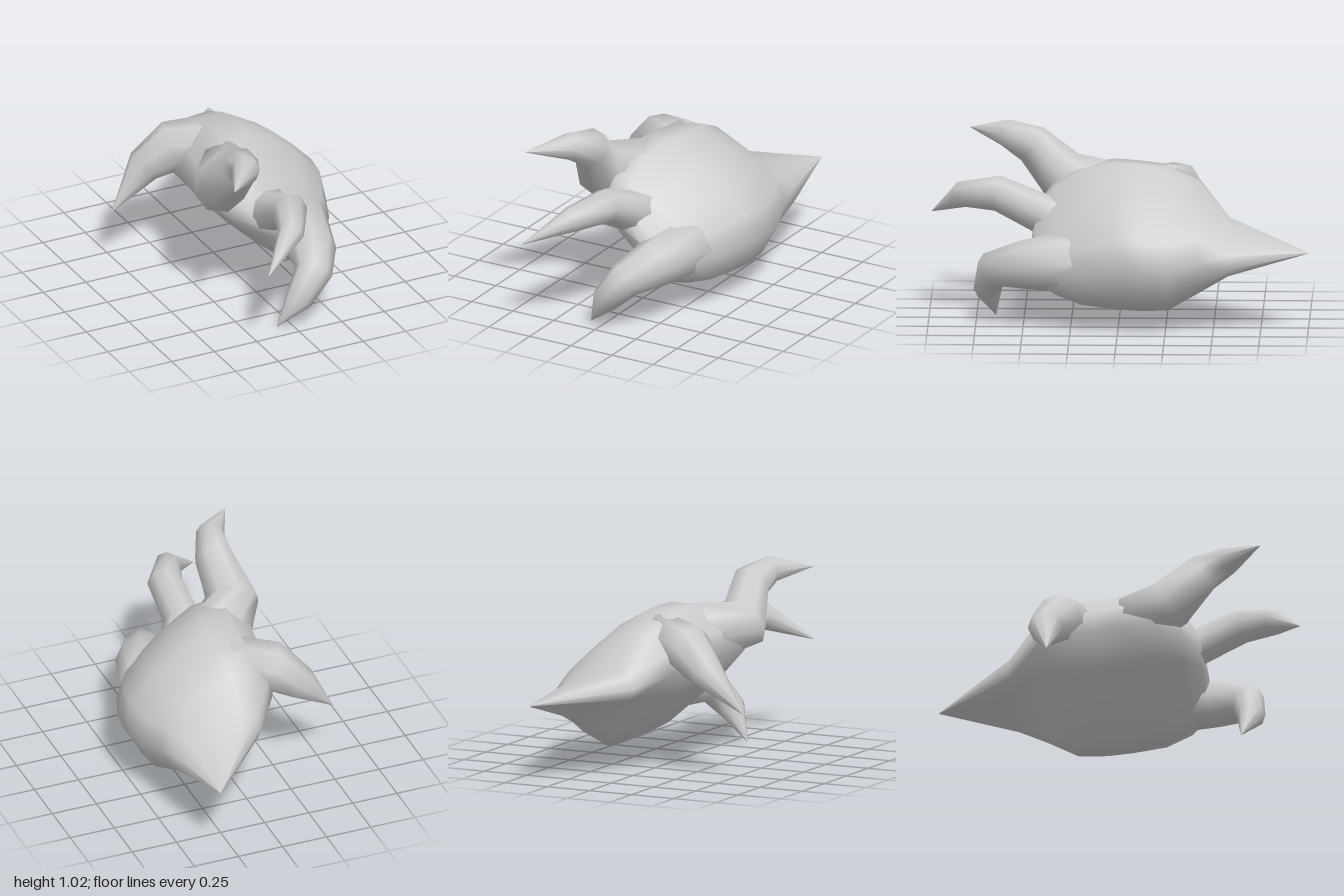
import * as THREE from 'three';

const material = new THREE.MeshStandardMaterial({ color: 0xcccccc });

// Smooth skin through rings of points; each ring turns counter-clockwise about the travel direction
function loft(name, rings) {
  const n = rings[0].length;
  const index = [];
  for (let i = 0; i < rings.length - 1; i++) {
    for (let j = 0; j < n; j++) {
      const k = (j + 1) % n;
      const a = i * n + j, b = i * n + k, c = (i + 1) * n + k, d = (i + 1) * n + j;
      index.push(a, b, c, a, c, d);
    }
  }
  const geometry = new THREE.BufferGeometry().setFromPoints(rings.flat());
  geometry.setIndex(index);
  geometry.computeVertexNormals();
  const mesh = new THREE.Mesh(geometry, material);
  mesh.name = name;
  return mesh;
}

// Tapering limb along joints [x, y, z, radius]
function limb(name, joints, sides = 8) {
  const points = joints.map(([x, y, z]) => new THREE.Vector3(x, y, z));
  const across = new THREE.Vector3(0.74, -0.67, 0);
  const rings = points.map((p, i) => {
    const before = points[Math.max(i - 1, 0)];
    const after = points[Math.min(i + 1, points.length - 1)];
    const along = after.clone().sub(p).normalize()
      .add(p.clone().sub(before).normalize()).normalize();
    const u = across.clone().addScaledVector(along, -across.dot(along)).normalize();
    const v = along.clone().cross(u);
    const r = Math.max(joints[i][3], 0.002);
    return Array.from({ length: sides }, (_, j) => {
      const t = (j / sides) * Math.PI * 2;
      return p.clone().addScaledVector(u, r * Math.cos(t)).addScaledVector(v, r * Math.sin(t));
    });
  });
  return loft(name, rings);
}

// Palm outline in units of half width and half depth: domed back, flat inside
const palmOutline = [
  [1, -0.2], [0.9, 0.58], [0.6, 0.95], [0.2, 1], [-0.2, 0.99], [-0.72, 0.8], [-0.97, 0.4],
  [-1, -0.35], [-0.88, -0.85], [-0.4, -0.97], [0.1, -1], [0.6, -0.97], [0.83, -0.82],
];

function palmRing([z, x, y, halfWidth, halfDepth, tilt]) {
  const c = Math.cos(tilt), s = Math.sin(tilt);
  return palmOutline.map(([a, b]) => {
    const u = a * halfWidth, v = b * halfDepth;
    return new THREE.Vector3(x + u * c - v * s, y + u * s + v * c, z);
  });
}

export function createModel() {
  const group = new THREE.Group();
  group.name = 'clawedHand';

  // Palm from the pointed wrist to the knuckles: z, x, y, half width, half depth, tilt
  group.add(loft('palm', [
    [-1.0, 0.35, 0.42, 0.003, 0.003, -0.5],
    [-0.58, 0.2, 0.43, 0.25, 0.09, -0.3],
    [-0.42, 0.16, 0.48, 0.34, 0.185, -0.64],
    [-0.26, 0.15, 0.47, 0.41, 0.245, -0.73],
    [-0.12, 0.16, 0.48, 0.42, 0.255, -0.73],
    [0.02, 0.14, 0.485, 0.425, 0.25, -0.73],
    [0.2, 0.1, 0.47, 0.41, 0.205, -0.73],
    [0.34, 0.08, 0.445, 0.34, 0.145, -0.73],
    [0.44, 0.09, 0.42, 0.23, 0.07, -0.73],
    [0.46, 0.09, 0.42, 0.003, 0.003, -0.73],
  ].map(palmRing)));

  // Fingers and thumb, rooted inside the palm and ending in a sharp point
  const digits = {
    upperFinger: [
      [0.06, 0.56, -0.1, 0], [-0.1, 0.67, 0.12, 0.17], [-0.24, 0.71, 0.3, 0.145],
      [-0.2, 0.89, 0.46, 0.105], [-0.24, 0.94, 0.6, 0.075], [-0.4, 0.94, 0.79, 0],
    ],
    middleFinger: [
      [0.08, 0.46, -0.05, 0], [0.05, 0.5, 0.24, 0.15], [-0.01, 0.56, 0.42, 0.105],
      [0.0, 0.665, 0.64, 0.095], [-0.09, 0.64, 0.83, 0.07], [-0.3, 0.51, 0.99, 0],
    ],
    lowerFinger: [
      [0.2, 0.42, -0.1, 0], [0.25, 0.35, 0.24, 0.165], [0.2, 0.32, 0.5, 0.13],
      [0.13, 0.28, 0.66, 0.1], [0.03, 0.16, 0.69, 0.075], [-0.08, 0, 0.65, 0],
    ],
    thumb: [
      [0.18, 0.48, -0.15, 0], [-0.06, 0.68, -0.24, 0.15], [-0.22, 0.66, -0.3, 0.135],
      [-0.36, 0.55, -0.35, 0.095], [-0.56, 0.34, -0.32, 0],
    ],
  };
  for (const [name, joints] of Object.entries(digits)) group.add(limb(name, joints));
  return group;
}
